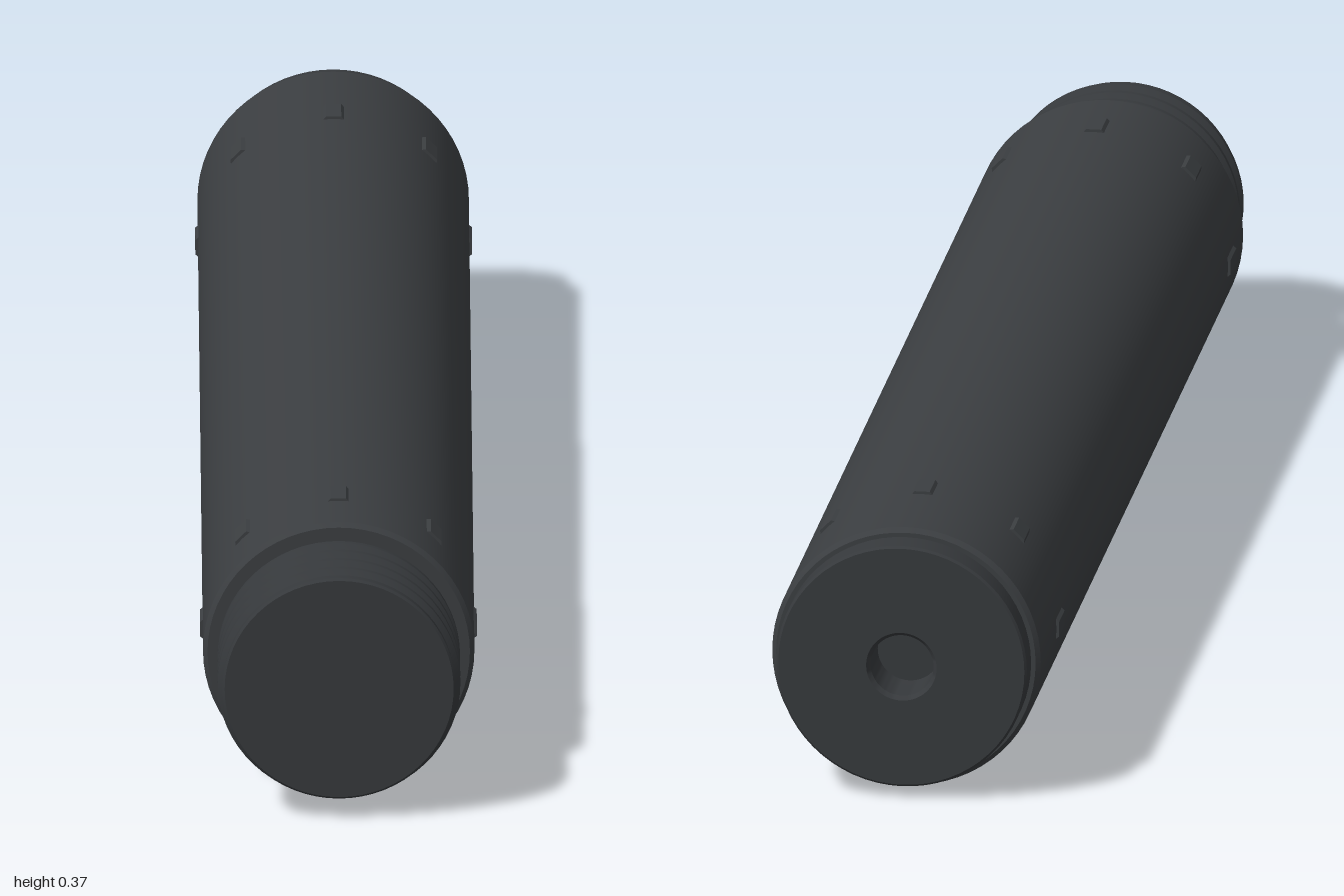
import * as THREE from 'three';
import { toCreasedNormals } from 'three/addons/utils/BufferGeometryUtils.js';

const AXIS_Y = 0.183;
const dark = new THREE.MeshStandardMaterial({ color: 0x3b3e41 });
const darker = new THREE.MeshStandardMaterial({ color: 0x36393c });

// Turned part around the z axis; profile points are [radius, z], from back to front
function turned(name, profile, material) {
  const points = profile.map(([r, z]) => new THREE.Vector2(r, z));
  const geometry = new THREE.LatheGeometry(points, 64).rotateX(Math.PI / 2);
  const mesh = new THREE.Mesh(toCreasedNormals(geometry, 0.5), material);
  mesh.name = name;
  return mesh;
}

// Ring of eight small raised studs around the tube
function studRing(name, z) {
  const ring = new THREE.Group();
  ring.name = name;
  const section = new THREE.Shape([
    new THREE.Vector2(-0.019, 0.172), new THREE.Vector2(0.019, 0.172),
    new THREE.Vector2(0.01, 0.1825), new THREE.Vector2(-0.01, 0.1825),
  ]);
  const geometry = new THREE.ExtrudeGeometry(section, { depth: 0.05, bevelEnabled: false });
  geometry.translate(0, 0, -0.025);
  for (let i = 0; i < 8; i++) {
    const stud = new THREE.Mesh(geometry, dark);
    stud.name = 'stud';
    stud.rotation.z = (i * Math.PI) / 4;
    ring.add(stud);
  }
  ring.position.z = z;
  return ring;
}

export function createModel() {
  const model = new THREE.Group();
  model.name = 'threadedTube';
  const axis = new THREE.Group();
  axis.name = 'tubeAssembly';
  axis.position.y = AXIS_Y;
  model.add(axis);

  // Main tube with narrow chamfers at both ends
  axis.add(turned('tubeBody', [
    [0.14, -0.96], [0.173, -0.96], [0.179, -0.954],
    [0.179, 0.844], [0.173, 0.85], [0.14, 0.85],
  ], dark));

  // Back cap with a blind centre bore
  axis.add(turned('backCap', [
    [0, -0.93], [0.042, -0.93], [0.042, -0.994], [0.047, -1],
    [0.164, -1], [0.167, -0.997], [0.167, -0.955],
  ], darker));

  // Threaded neck with four ridges, closed at the front
  const neck = [[0.153, 0.84]];
  for (let i = 0; i < 4; i++) {
    const z = 0.87 + i * 0.034;
    neck.push([0.153, z - 0.011], [0.16, z - 0.004], [0.16, z + 0.004], [0.153, z + 0.011]);
  }
  neck.push([0.154, 0.997], [0.151, 1], [0, 1]);
  axis.add(turned('threadedNeck', neck, darker));

  axis.add(studRing('frontStuds', 0.735), studRing('backStuds', -0.79));
  return model;
}
